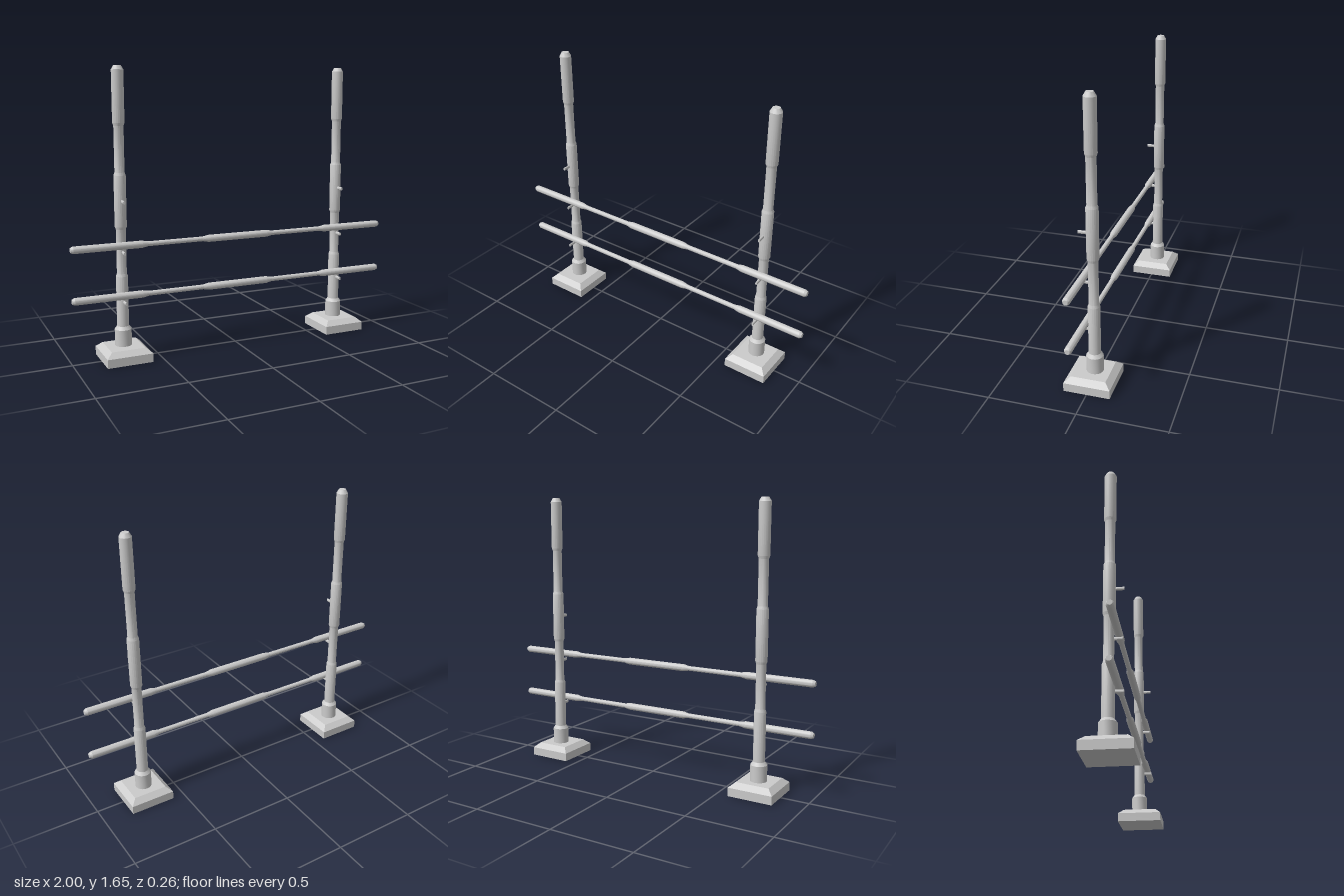
import * as THREE from 'three';
import { toCreasedNormals } from 'three/addons/utils/BufferGeometryUtils.js';

const material = new THREE.MeshStandardMaterial({ color: 0xcccccc });

// Turned solid from [radius, height] pairs, listed bottom to top
function turned(profile, sides = 20, phase = 0, crease = 0.4) {
  const points = profile.map(([r, y]) => new THREE.Vector2(r, y));
  return toCreasedNormals(new THREE.LatheGeometry(points, sides, phase), crease);
}

function addPart(parent, name, geometry, x = 0, y = 0, z = 0) {
  const mesh = new THREE.Mesh(geometry, material);
  mesh.name = name;
  mesh.position.set(x, y, z);
  parent.add(mesh);
  return mesh;
}

export function createModel() {
  const model = new THREE.Group();
  model.name = 'hurdle';

  // Square foot with a bevelled top: a four-sided turned solid
  const d = Math.SQRT2;
  const foot = turned(
    [[0, 0], [0.132 * d, 0], [0.132 * d, 0.05], [0.099 * d, 0.079], [0, 0.079]],
    4, Math.PI / 4);

  // Upright with alternating thick and thin sections
  const post = turned([
    [0.034, 0.17], [0.034, 0.482], [0.028, 0.498],
    [0.028, 0.75], [0.034, 0.766], [0.034, 1.055], [0.028, 1.071],
    [0.028, 1.328], [0.034, 1.344], [0.034, 1.632], [0.021, 1.655], [0, 1.655],
  ]);
  const collar = turned([[0.048, 0.07], [0.048, 0.174], [0.034, 0.193]]);

  // Oval peg pointing forward
  const peg = turned([[0, 0], [0.01, 0], [0.01, 1], [0, 1]], 12);
  peg.rotateX(Math.PI / 2);
  peg.scale(0.6, 1, 1);

  for (const side of [-1, 1]) {
    const stand = new THREE.Group();
    stand.name = side > 0 ? 'leftStand' : 'rightStand';
    stand.position.x = side * 0.702;
    model.add(stand);
    addPart(stand, 'foot', foot);
    addPart(stand, 'collar', collar, 0, 0, -0.009);
    addPart(stand, 'post', post, 0, 0, -0.009);
    for (const [y, reach] of [[0.335, 0.07], [0.621, 0.062], [0.91, 0.07]]) {
      addPart(stand, 'peg', peg, 0, y, 0).scale.z = reach;
    }
  }

  // Rails: thick ends and middle, thinner between
  const half = [[0.021, 0.19], [0.014, 0.225], [0.014, 0.56],
    [0.021, 0.595], [0.021, 0.986], [0.014, 1], [0, 1]];
  const mirrored = half.map(([r, y]) => [r, -y]).reverse();
  const rail = turned([...mirrored, ...half], 20, 0, 0.35);
  rail.rotateZ(-Math.PI / 2);
  addPart(model, 'lowerRail', rail, 0, 0.376, 0.037);
  addPart(model, 'upperRail', rail, 0, 0.664, 0.037);

  return model;
}
